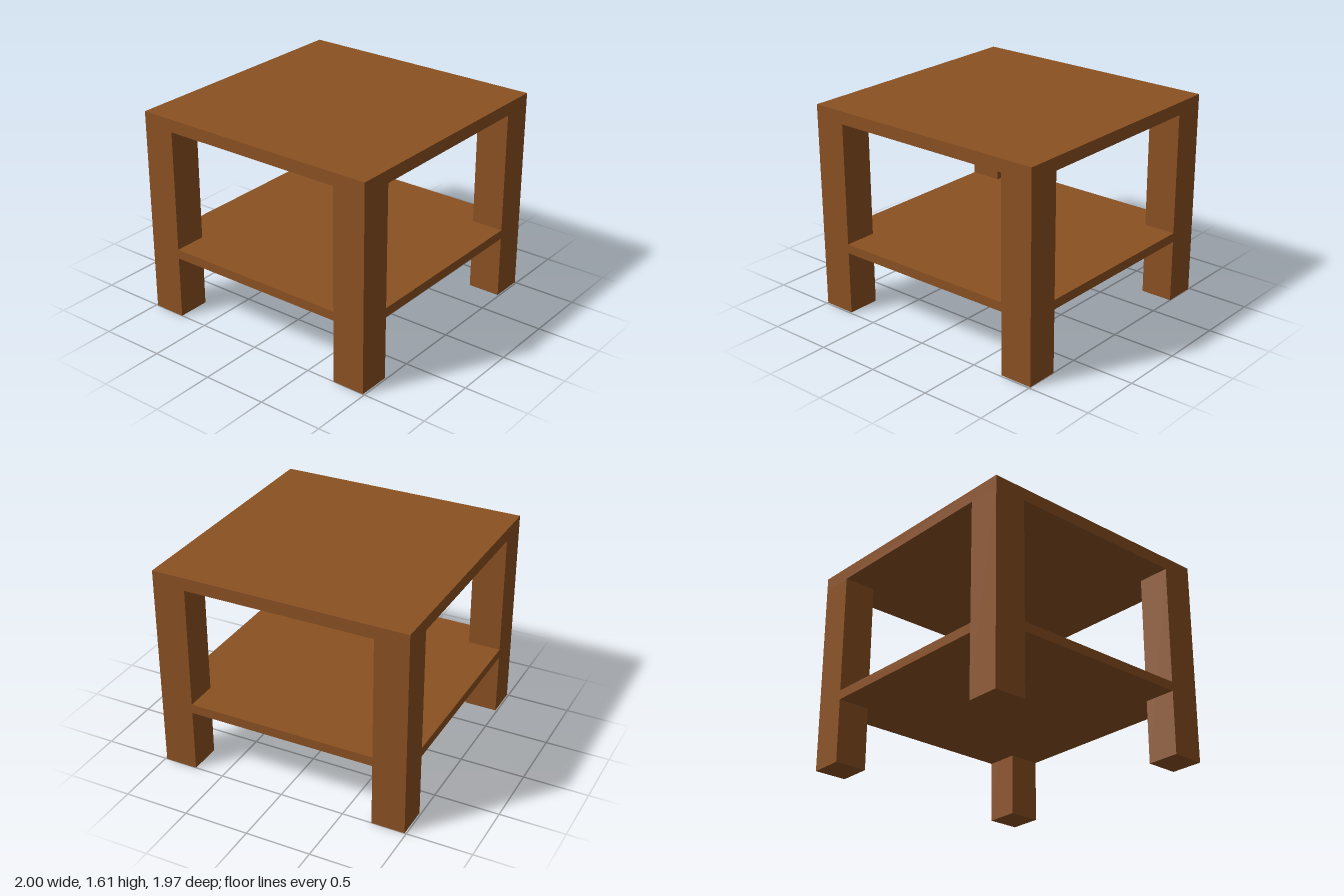
import * as THREE from 'three';

// Half width, half depth, leg thickness and the heights of the slabs
const HX = 1, HZ = 0.987, LEG = 0.257;
const TOP_Y = 1.605, TOP_UNDER = 1.507, SHELF_TOP = 0.565, SHELF_UNDER = 0.493;

export function createModel() {
  const table = new THREE.Group();
  table.name = 'sideTable';

  const wood = new THREE.MeshStandardMaterial({ color: 0x8b5122 });
  wood.name = 'brownWood';

  const add = (name, geometry, x, y, z) => {
    const mesh = new THREE.Mesh(geometry, wood);
    mesh.name = name;
    mesh.position.set(x, y, z);
    table.add(mesh);
    return mesh;
  };

  // Table top, flush with the outer faces of the legs
  const topHeight = TOP_Y - TOP_UNDER;
  add('tableTop', new THREE.BoxGeometry(HX * 2, topHeight, HZ * 2), 0, TOP_UNDER + topHeight / 2, 0);

  // Four square legs
  const legGeometry = new THREE.BoxGeometry(LEG, TOP_UNDER, LEG);
  for (const [side, sx] of [['Left', 1], ['Right', -1]]) {
    for (const [end, sz] of [['front', 1], ['back', -1]]) {
      add(`${end}${side}Leg`, legGeometry, sx * (HX - LEG / 2), TOP_UNDER / 2, sz * (HZ - LEG / 2));
    }
  }

  // Lower shelf, notched at each corner to fit around the legs
  const ix = HX - LEG, iz = HZ - LEG;
  const outline = new THREE.Shape([
    [ix, -HZ], [ix, -iz], [HX, -iz], [HX, iz], [ix, iz], [ix, HZ],
    [-ix, HZ], [-ix, iz], [-HX, iz], [-HX, -iz], [-ix, -iz], [-ix, -HZ],
  ].map(([x, z]) => new THREE.Vector2(x, z)));
  const shelfGeometry = new THREE.ExtrudeGeometry(outline, {
    depth: SHELF_TOP - SHELF_UNDER,
    bevelEnabled: false,
  });
  shelfGeometry.rotateX(-Math.PI / 2);
  add('lowerShelf', shelfGeometry, 0, SHELF_UNDER, 0);

  return table;
}
